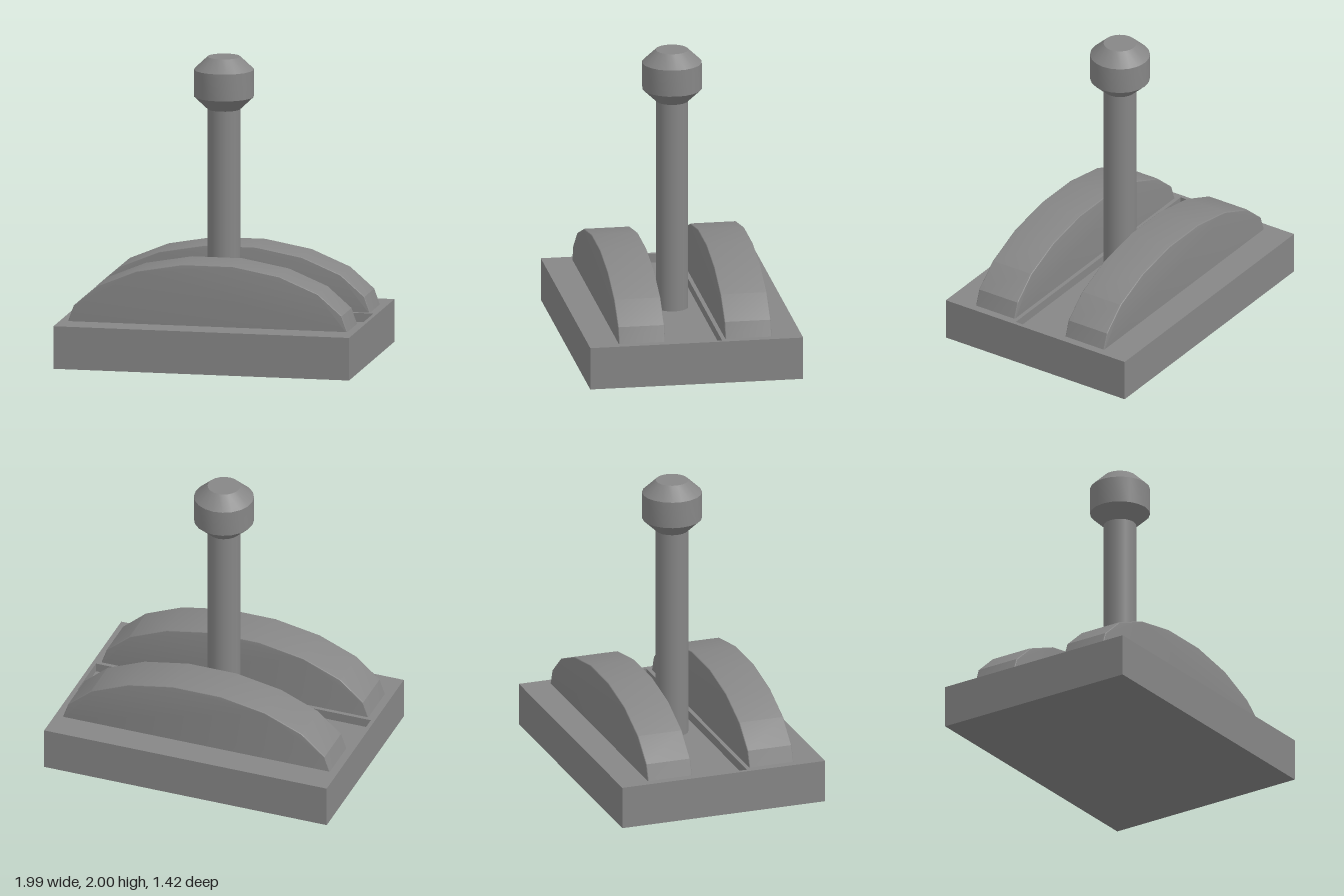
import * as THREE from 'three';
import { toCreasedNormals } from 'three/addons/utils/BufferGeometryUtils.js';

const material = new THREE.MeshStandardMaterial({ color: 0x868686 });

function add(parent, name, geometry) {
  const mesh = new THREE.Mesh(geometry, material);
  mesh.name = name;
  parent.add(mesh);
  return mesh;
}

// Traces a closed rectangle centred on the origin.
function rect(path, halfW, halfH) {
  path.moveTo(-halfW, -halfH);
  path.lineTo(halfW, -halfH);
  path.lineTo(halfW, halfH);
  path.lineTo(-halfW, halfH);
  path.closePath();
  return path;
}

export function createModel() {
  const model = new THREE.Group();
  model.name = 'leverControl';

  const baseHeight = 0.285;
  const grooveDepth = 0.06;
  const slotX = 0.968, slotZ = 0.173;

  // Base block with a rectangular recess between the two guides
  const base = new THREE.Group();
  base.name = 'base';
  model.add(base);
  const frame = rect(new THREE.Shape(), 0.995, 0.71);
  frame.holes.push(rect(new THREE.Path(), slotX, slotZ));
  const frameGeometry = new THREE.ExtrudeGeometry(frame, { depth: baseHeight, bevelEnabled: false });
  frameGeometry.rotateX(-Math.PI / 2);
  add(base, 'baseFrame', frameGeometry);

  const floorHeight = baseHeight - grooveDepth;
  const floor = add(base, 'slotFloor', new THREE.BoxGeometry(slotX * 2, floorHeight, slotZ * 2));
  floor.position.y = floorHeight / 2;

  // Pair of faceted arched guides with a fine rounded edge
  const half = [[0.947, baseHeight - 0.02], [0.94, baseHeight], [0.903, 0.39], [0.742, 0.53], [0.482, 0.638], [0.17, 0.694]];
  const outline = [...half, ...half.slice().reverse().map(([x, y]) => [-x, y])];
  const arch = new THREE.Shape(outline.map(([x, y]) => new THREE.Vector2(x, y)));
  const bevel = 0.008, width = 0.31;
  const archGeometry = toCreasedNormals(new THREE.ExtrudeGeometry(arch, {
    depth: width - 2 * bevel,
    bevelSize: bevel,
    bevelThickness: bevel,
    bevelOffset: -bevel,
    bevelSegments: 4,
  }).translate(0, 0, bevel - width / 2), 0.36);
  for (const [name, side] of [['frontGuide', 1], ['backGuide', -1]]) {
    add(model, name, archGeometry).position.z = side * 0.355;
  }

  // Lever shaft standing on the recess floor
  const lever = new THREE.Group();
  lever.name = 'lever';
  model.add(lever);
  const shaftTop = 1.66;
  const shaft = add(lever, 'shaft', new THREE.CylinderGeometry(0.108, 0.108, shaftTop - floorHeight, 20));
  shaft.position.y = (shaftTop + floorHeight) / 2;

  // Knob with crisp chamfers at top and bottom
  const knob = [[0, 1.65], [0.108, 1.65], [0.198, 1.735], [0.198, 1.915], [0.108, 2], [0, 2]];
  const knobGeometry = new THREE.LatheGeometry(knob.map(([r, y]) => new THREE.Vector2(r, y)), 20);
  add(lever, 'knob', toCreasedNormals(knobGeometry, 0.6));

  return model;
}
